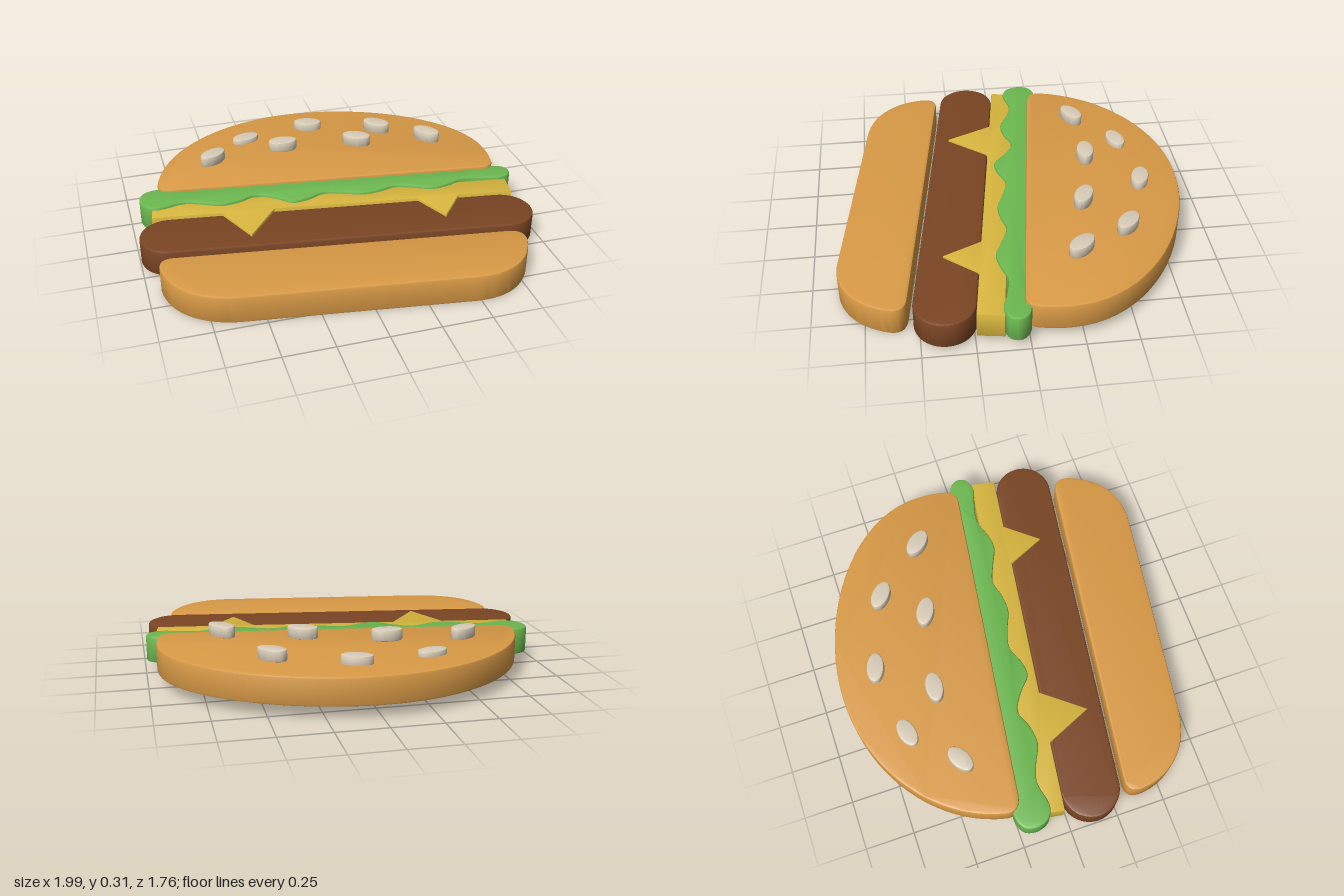
import * as THREE from 'three';
import { toCreasedNormals } from 'three/addons/utils/BufferGeometryUtils.js';

const material = (name, color) => {
  const m = new THREE.MeshStandardMaterial({ color });
  m.name = name;
  return m;
};

// Lays a flat outline (x, -z) on the ground and raises it from y0 to y1 with softened rims.
function slab(name, shape, y0, y1, mat, bevel = 0.01) {
  const geo = new THREE.ExtrudeGeometry(shape, {
    depth: y1 - y0 - 2 * bevel, curveSegments: 20,
    bevelEnabled: true, bevelThickness: bevel, bevelSize: bevel, bevelOffset: -bevel, bevelSegments: 2,
  });
  geo.rotateX(-Math.PI / 2);
  geo.translate(0, y0 + bevel, 0);
  const mesh = new THREE.Mesh(toCreasedNormals(geo, 0.6), mat);
  mesh.name = name;
  return mesh;
}

// Outline helper that takes x, z pairs and flips z for the shape plane.
function outline(steps) {
  const s = new THREE.Shape();
  for (const [op, ...p] of steps) s[op](...p.map((v, i) => (i % 2 ? -v : v)));
  s.closePath();
  return s;
}

export function createModel() {
  const model = new THREE.Group();
  model.name = 'burger';
  const bun = material('bun', 0xd99a46);
  const meat = material('patty', 0x7a4523);
  const cheeseMat = material('cheese', 0xd8b63e);
  const green = material('lettuce', 0x6cb850);
  const seedMat = material('sesame', 0xd9cdb8);

  // Bottom bun
  model.add(slab('bottomBun', outline([
    ['moveTo', -0.86, 0.322],
    ['lineTo', 0.76, 0.548],
    ['quadraticCurveTo', 0.85, 0.56, 0.83, 0.64],
    ['bezierCurveTo', 0.78, 0.79, 0.66, 0.895, 0.47, 0.87],
    ['lineTo', -0.62, 0.718],
    ['bezierCurveTo', -0.82, 0.685, -0.925, 0.55, -0.935, 0.4],
    ['quadraticCurveTo', -0.94, 0.315, -0.86, 0.322],
  ]), 0, 0.145, bun));

  // Patty: straight sides with fully round ends
  const r = 0.147, a = -Math.atan2(0.233, 1.67);
  const patty = new THREE.Shape();
  patty.absarc(-0.85, -0.147, r, a + Math.PI / 2, a + Math.PI * 1.5, false);
  patty.absarc(0.82, -0.38, r, a - Math.PI / 2, a + Math.PI / 2, false);
  patty.closePath();
  model.add(slab('patty', patty, 0.018, 0.157, meat));

  // Cheese slice with two drips
  model.add(slab('cheese', outline([
    ['moveTo', -0.895, -0.135],
    ['lineTo', 0.945, 0.118],
    ['lineTo', 0.925, 0.245],
    ['lineTo', 0.645, 0.206],
    ['lineTo', 0.512, 0.368],
    ['lineTo', 0.425, 0.176],
    ['lineTo', -0.305, 0.072],
    ['lineTo', -0.465, 0.274],
    ['lineTo', -0.57, 0.036],
    ['lineTo', -0.915, -0.012],
  ]), 0.034, 0.17, cheeseMat, 0.005));

  // Lettuce: wavy on both edges, rounded ends
  const lettuce = new THREE.CatmullRomCurve3([
    [-0.955, -0.165], [-0.93, -0.1], [-0.87, -0.074], [-0.74, -0.096], [-0.65, -0.067], [-0.56, -0.026],
    [-0.46, -0.034], [-0.37, -0.066], [-0.28, -0.02], [-0.2, 0.046], [-0.12, 0.04], [-0.03, 0.006],
    [0.07, 0.03], [0.17, 0.068], [0.26, 0.065], [0.35, 0.044], [0.44, 0.075], [0.54, 0.116],
    [0.62, 0.108], [0.72, 0.078], [0.82, 0.096], [0.91, 0.12], [0.975, 0.1], [0.993, 0.05],
    [0.96, 0.005], [0.88, -0.012], [0.74, -0.01], [0.6, -0.06], [0.46, -0.05], [0.32, -0.1],
    [0.18, -0.085], [0.04, -0.14], [-0.1, -0.125], [-0.24, -0.185], [-0.4, -0.165], [-0.56, -0.225],
    [-0.7, -0.21], [-0.82, -0.255], [-0.89, -0.255], [-0.94, -0.225],
  ].map(([x, z]) => new THREE.Vector3(x, -z, 0)), true);
  const leafPoints = lettuce.getPoints(160).slice(0, -1).map((p) => new THREE.Vector2(p.x, p.y));
  model.add(slab('lettuce', new THREE.Shape(leafPoints), 0.048, 0.185, green));

  // Top bun dome
  model.add(slab('topBun', outline([
    ['moveTo', -0.76, -0.203],
    ['lineTo', 0.86, 0.018],
    ['quadraticCurveTo', 0.925, 0.025, 0.94, -0.06],
    ['quadraticCurveTo', 0.953, -0.12, 0.952, -0.19],
    ['bezierCurveTo', 0.95, -0.57, 0.45, -0.885, -0.02, -0.885],
    ['bezierCurveTo', -0.42, -0.885, -0.77, -0.63, -0.845, -0.29],
    ['quadraticCurveTo', -0.86, -0.215, -0.76, -0.203],
  ]), 0.06, 0.2, bun));

  // Sesame seeds: x, z, base height, turn in degrees
  const seeds = [
    [-0.525, -0.42, 0.21, 30], [-0.302, -0.628, 0.17, 15], [-0.135, -0.43, 0.225, -4],
    [0.073, -0.682, 0.185, -18], [0.263, -0.352, 0.24, -27], [0.442, -0.543, 0.2, -40],
    [0.643, -0.277, 0.252, -50],
  ];
  seeds.forEach(([x, z, y, deg], i) => {
    const s = new THREE.Shape();
    s.absellipse(x, -z, 0.076, 0.044, 0, Math.PI * 2, false, THREE.MathUtils.degToRad(deg));
    model.add(slab(`sesameSeed${i + 1}`, s, y, y + 0.057, seedMat, 0.008));
  });

  return model;
}
